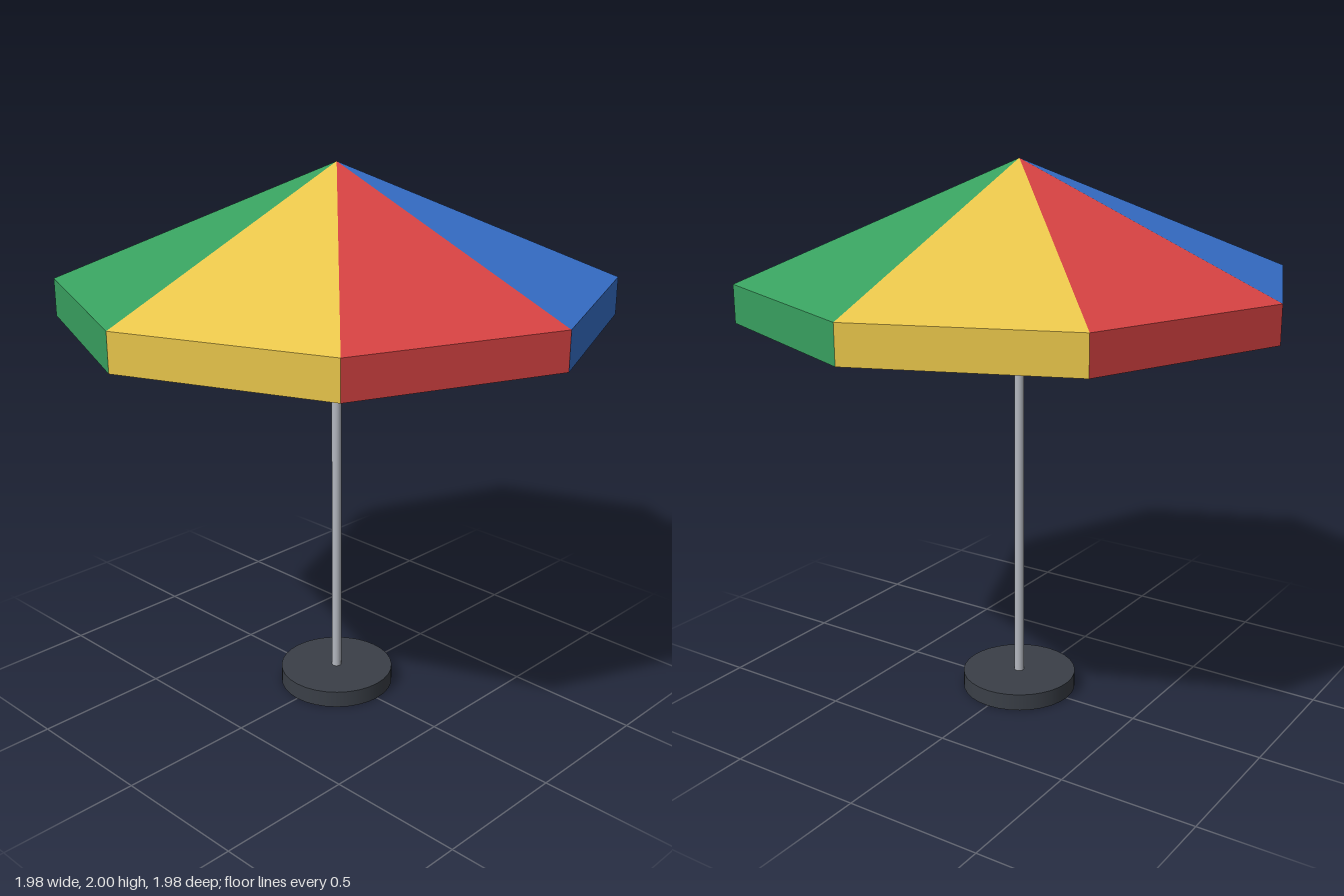
import * as THREE from 'three';

const RADIUS = 0.988, APEX = 2, RIM = 1.597, HEM = 1.463;
const COLORS = { green: 0x38a05f, blue: 0x3873d0, red: 0xd94343, yellow: 0xe8c54a };

// Point on the canopy's octagon at corner i, going from +x towards +z
function corner(i, y) {
  const a = (i * Math.PI) / 4;
  return [RADIUS * Math.cos(a), y, RADIUS * Math.sin(a)];
}

// Flat cloth piece from a convex ring of corners
function cloth(name, points, color) {
  const positions = [];
  for (let i = 1; i < points.length - 1; i++) positions.push(...points[0], ...points[i], ...points[i + 1]);
  const geometry = new THREE.BufferGeometry();
  geometry.setAttribute('position', new THREE.Float32BufferAttribute(positions, 3));
  geometry.computeVertexNormals();
  const mesh = new THREE.Mesh(geometry, new THREE.MeshStandardMaterial({ color, side: THREE.DoubleSide }));
  mesh.name = name;
  return mesh;
}

// Upright cylinder standing between two heights
function post(name, radius, bottom, top, sides, color) {
  const geometry = new THREE.CylinderGeometry(radius, radius, top - bottom, sides);
  const mesh = new THREE.Mesh(geometry, new THREE.MeshStandardMaterial({ color }));
  mesh.position.y = (bottom + top) / 2;
  mesh.name = name;
  return mesh;
}

export function createModel() {
  const model = new THREE.Group();
  model.name = 'parasol';

  // Weighted foot and pole
  model.add(post('base', 0.214, 0, 0.063, 32, 0x3a3f47));
  model.add(post('pole', 0.018, 0.06, 1.985, 16, 0xb4b8c0));

  // Eight coloured segments: a sloping panel with a hanging valance
  const canopy = new THREE.Group();
  canopy.name = 'canopy';
  const order = [COLORS.green, COLORS.blue, COLORS.red, COLORS.yellow];
  for (let i = 0; i < 8; i++) {
    const color = order[i % 4];
    canopy.add(cloth('panel', [[0, APEX, 0], corner(i + 1, RIM), corner(i, RIM)], color));
    canopy.add(cloth('valance', [corner(i, RIM), corner(i + 1, RIM), corner(i + 1, HEM), corner(i, HEM)], color));
  }
  model.add(canopy);
  return model;
}
